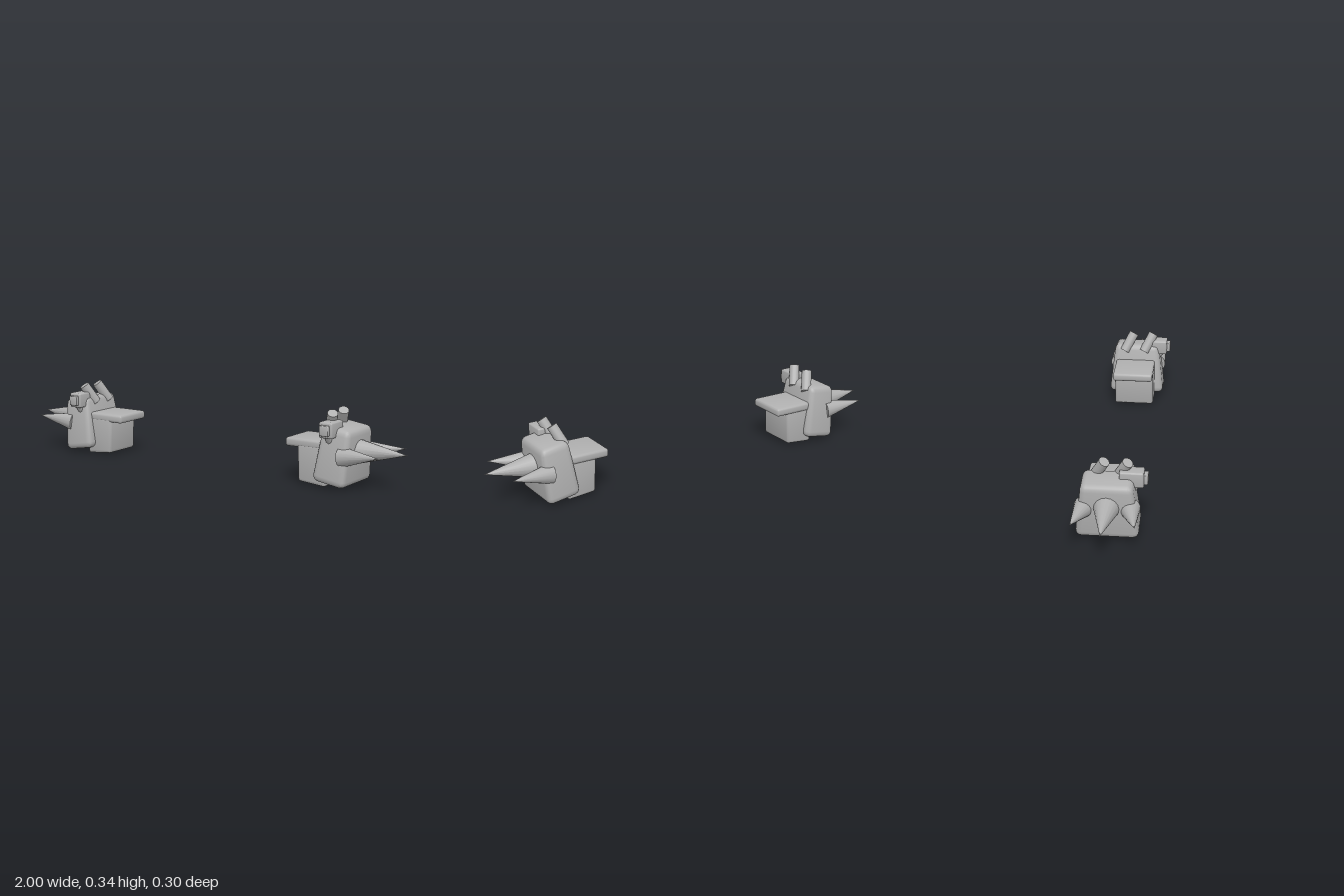
import * as THREE from 'three';
import { toCreasedNormals } from 'three/addons/utils/BufferGeometryUtils.js';
import { RoundedBoxGeometry } from 'three/addons/geometries/RoundedBoxGeometry.js';

const metal = new THREE.MeshStandardMaterial({ color: 0xb0b0b0 });
metal.name = 'plain grey';
const V = (x, y, z) => new THREE.Vector3(x, y, z);
const lerp = THREE.MathUtils.lerp;

// Bevelled block given by its four front-view corners (bottom inner, bottom outer,
// top inner, top outer) and its half depths at the bottom and the top.
function block([bi, bo, ti, to], halfBottom, halfTop, zMid, bevel) {
  const w = bo[0] - bi[0];
  const h = ti[1] - bi[1];
  const d = halfBottom * 2;
  const g = new RoundedBoxGeometry(w, h, d, 2, bevel);
  const p = g.attributes.position;
  for (let i = 0; i < p.count; i++) {
    const u = p.getX(i) / w + 0.5;
    const v = p.getY(i) / h + 0.5;
    const at = (k) => lerp(lerp(bi[k], bo[k], u), lerp(ti[k], to[k], u), v);
    p.setXYZ(i, at(0), at(1), zMid + (p.getZ(i) / d) * 2 * lerp(halfBottom, halfTop, v));
  }
  return toCreasedNormals(g, 0.55);
}

// Upright bevelled box between two corners
function box(x0, x1, y0, y1, z0, z1, bevel) {
  return block([[x0, y0], [x1, y0], [x0, y1], [x1, y1]], (z1 - z0) / 2, (z1 - z0) / 2, (z0 + z1) / 2, bevel);
}

// Cylinder or cone from point a to point b
function rod(a, b, r0, r1, sides) {
  const dir = b.clone().sub(a);
  const g = new THREE.CylinderGeometry(r1, r0, dir.length(), sides);
  g.applyQuaternion(new THREE.Quaternion().setFromUnitVectors(V(0, 1, 0), dir.normalize()));
  const mid = a.clone().add(b).multiplyScalar(0.5);
  return g.translate(mid.x, mid.y, mid.z);
}

// Reflects a geometry across x = 0 and restores the winding
function mirrored(geometry) {
  const g = geometry.index ? geometry.toNonIndexed() : geometry.clone();
  for (const name of ['position', 'normal']) {
    const a = g.attributes[name];
    for (let i = 0; i < a.count; i += 3) {
      const t = [0, 2, 1].map((k) => V().fromBufferAttribute(a, i + k));
      t.forEach((v, k) => a.setXYZ(i + k, -v.x, v.y, v.z));
    }
  }
  return g;
}

export function createModel() {
  const parts = {};

  // Tapered outer guard, leaning outwards
  parts.shoulderGuard = block(
    [[0.607, 0.036], [0.765, 0.01], [0.647, 0.278], [0.78, 0.259]], 0.135, 0.107, -0.0135, 0.028);

  // Inner arm block and the slab on top of it
  parts.armBlock = block(
    [[0.521, 0.014], [0.655, 0.002], [0.514, 0.18], [0.66, 0.18]], 0.094, 0.094, -0.017, 0.012);
  parts.topSlab = box(0.454, 0.69, 0.163, 0.202, -0.115, 0.077, 0.012);

  // Spikes on the outer face
  parts.middleSpike = rod(V(0.752, 0.159, -0.0135), V(1, 0.167, -0.0135), 0.058, 0, 16);
  parts.frontSpike = rod(V(0.738, 0.146, 0.08), V(0.93, 0.167, 0.116), 0.045, 0, 16);
  parts.backSpike = rod(V(0.738, 0.146, -0.107), V(0.93, 0.167, -0.143), 0.045, 0, 16);

  // Slanted exhaust pipes
  [['frontPipe', 0.067], ['backPipe', -0.03]].forEach(([name, z]) => {
    parts[name] = rod(V(0.648, 0.245, z - 0.045), V(0.683, 0.328, z), 0.0235, 0.0235, 16);
  });

  // Lamp housing with its lens and bracket
  parts.lampHousing = box(0.653, 0.717, 0.228, 0.298, 0.033, 0.135, 0.008);
  parts.lampLens = box(0.663, 0.707, 0.24, 0.285, 0.12, 0.152, 0.005);
  parts.lampBracket = rod(V(0.683, 0.19, 0.075), V(0.685, 0.245, 0.115), 0.016, 0.016, 8);

  const model = new THREE.Group();
  model.name = 'spikedShoulderPads';
  for (const side of ['left', 'right']) {
    const pad = new THREE.Group();
    pad.name = side + 'ShoulderPad';
    for (const [name, geometry] of Object.entries(parts)) {
      const mesh = new THREE.Mesh(side === 'left' ? geometry : mirrored(geometry), metal);
      mesh.name = name;
      pad.add(mesh);
    }
    model.add(pad);
  }
  return model;
}
